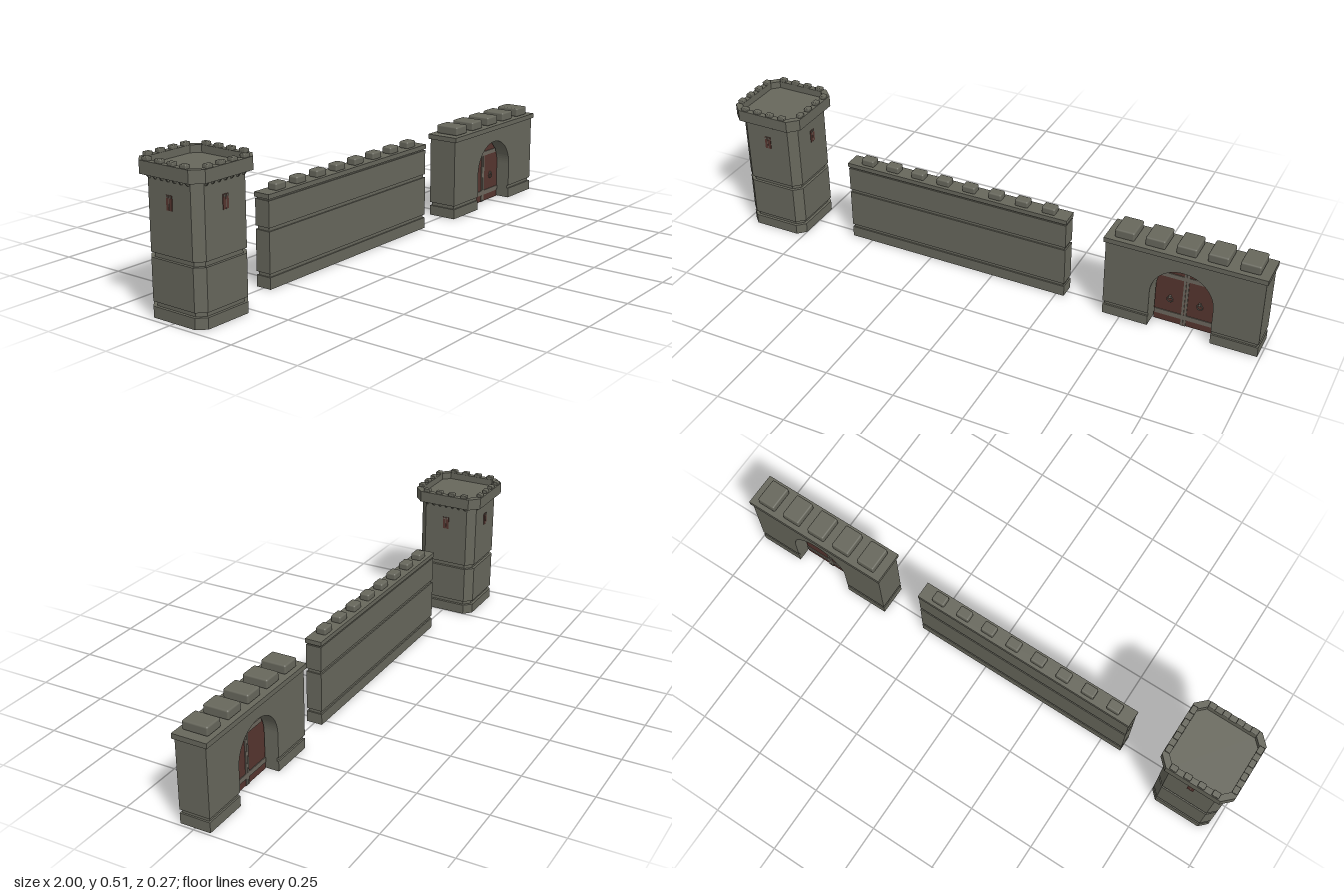
import * as THREE from 'three';
import { RoundedBoxGeometry } from 'three/addons/geometries/RoundedBoxGeometry.js';

const stone = new THREE.MeshStandardMaterial({ name: 'stone', color: 0x67675c });
const wood = new THREE.MeshStandardMaterial({ name: 'wood', color: 0x56352f });
const iron = new THREE.MeshStandardMaterial({ name: 'iron', color: 0x6c675d });

function add(parent, name, geometry, material, x = 0, y = 0, z = 0) {
  const mesh = new THREE.Mesh(geometry, material);
  mesh.name = name;
  mesh.position.set(x, y, z);
  parent.add(mesh);
  return mesh;
}

function group(parent, name, x = 0) {
  const g = new THREE.Group();
  g.name = name;
  g.position.x = x;
  parent.add(g);
  return g;
}

// Box given by its centre in x and z, and its bottom and top in y
function block(parent, name, w, y0, y1, d, material = stone, x = 0, z = 0) {
  return add(parent, name, new THREE.BoxGeometry(w, y1 - y0, d), material, x, (y0 + y1) / 2, z);
}

function merlon(parent, w, y0, y1, d, x, z = 0) {
  const r = Math.min(0.006, (y1 - y0) * 0.25);
  add(parent, 'merlon', new RoundedBoxGeometry(w, y1 - y0, d, 2, r), stone, x, (y0 + y1) / 2, z);
}

// Square outline with cut corners: r is half the width, c the half length of a side
function cutSquare(r, c, Type = THREE.Shape) {
  return new Type([[r, -c], [r, c], [c, r], [-c, r], [-r, c], [-r, -c], [-c, -r], [c, -r]]
    .map(([x, y]) => new THREE.Vector2(x, y)));
}

function prism(parent, name, shape, y0, y1) {
  const g = new THREE.ExtrudeGeometry(shape, { depth: y1 - y0, bevelEnabled: false });
  add(parent, name, g.rotateX(-Math.PI / 2), stone, 0, y0, 0);
}

function buildTower(root) {
  const tower = group(root, 'tower', -0.865);
  // Shaft with two grooves
  prism(tower, 'towerBase', cutSquare(0.115, 0.087), 0, 0.037);
  prism(tower, 'lowerGroove', cutSquare(0.105, 0.081), 0.037, 0.053);
  prism(tower, 'lowerShaft', cutSquare(0.115, 0.087), 0.053, 0.193);
  prism(tower, 'upperGroove', cutSquare(0.105, 0.081), 0.193, 0.21);
  prism(tower, 'upperShaft', cutSquare(0.115, 0.087), 0.21, 0.455);
  // Overhanging crown with a sunken floor
  prism(tower, 'crownFloor', cutSquare(0.136, 0.101), 0.453, 0.47);
  const rim = cutSquare(0.136, 0.101);
  rim.holes.push(cutSquare(0.115, 0.09, THREE.Path));
  prism(tower, 'crownParapet', rim, 0.47, 0.495);

  const wedge = new THREE.Shape([[0.113, 0.44], [0.118, 0.44], [0.13, 0.4535], [0.113, 0.4535]]
    .map(([x, y]) => new THREE.Vector2(x, y)));
  const corbel = new THREE.ExtrudeGeometry(wedge, { depth: 0.006, bevelEnabled: false });
  corbel.translate(0, 0, -0.003).rotateY(-Math.PI / 2);

  for (let i = 0; i < 4; i++) {
    const side = group(tower, 'towerSide');
    side.rotation.y = i * Math.PI / 2;
    for (const x of [-0.078, -0.026, 0.026, 0.078]) merlon(side, 0.026, 0.494, 0.507, 0.02, x, 0.124);
    for (let k = -3; k <= 3; k++) add(side, 'corbel', corbel, stone, k * 0.0265);
    // Shuttered window
    block(side, 'window', 0.024, 0.352, 0.399, 0.004, wood, 0, 0.115);
    for (const s of [-1, 1]) block(side, 'windowHinge', 0.006, 0.391, 0.398, 0.002, iron, s * 0.006, 0.1175);
    block(side, 'windowBar', 0.0015, 0.352, 0.399, 0.002, iron, 0, 0.117);
  }
}

function buildWall(root) {
  const wall = group(root, 'wall', -0.15);
  // Courses separated by narrow grooves
  block(wall, 'wallBase', 0.86, 0, 0.04, 0.058);
  block(wall, 'wallCore', 0.85, 0.02, 0.305, 0.048);
  block(wall, 'lowerCourse', 0.86, 0.052, 0.194, 0.058);
  block(wall, 'upperCourse', 0.86, 0.206, 0.296, 0.058);
  block(wall, 'wallCap', 0.864, 0.302, 0.318, 0.062);
  for (let i = 0; i < 8; i++) merlon(wall, 0.05, 0.316, 0.342, 0.038, (i - 3.5) * 0.102);
}

// Arch outline from the floor up, optionally as the notch of a larger outline
function archTop(path, r, spring) {
  path.absarc(0, spring, r, Math.PI, 0, true);
}

function buildGate(root) {
  const gate = group(root, 'gatehouse', 0.713);
  const W = 0.277, R = 0.112, spring = 0.14;

  // Base blocks and groove on each side of the opening
  for (const s of [-1, 1]) {
    block(gate, 'gateBase', W - R, 0, 0.037, 0.11, stone, s * (W + R) / 2);
    block(gate, 'gateGroove', W - R - 0.006, 0.037, 0.05, 0.098, stone, s * (W + R - 0.006) / 2);
  }
  // Arched body
  const body = new THREE.Shape();
  body.moveTo(-W, 0.05);
  body.lineTo(-R, 0.05);
  body.lineTo(-R, spring);
  archTop(body, R, spring);
  body.lineTo(R, 0.05);
  body.lineTo(W, 0.05);
  body.lineTo(W, 0.3);
  body.lineTo(-W, 0.3);
  add(gate, 'gateBody', new THREE.ExtrudeGeometry(body, { depth: 0.11, bevelEnabled: false, curveSegments: 20 }),
    stone, 0, 0, -0.055);
  block(gate, 'gateCap', 0.566, 0.299, 0.317, 0.125);
  for (let i = -2; i <= 2; i++) merlon(gate, 0.07, 0.317, 0.35, 0.092, i * 0.108);

  // Double door, slightly narrower than the opening
  const r = 0.107;
  const leaf = new THREE.Shape();
  leaf.moveTo(r, 0);
  leaf.lineTo(r, spring);
  leaf.absarc(0, spring, r, 0, Math.PI, false);
  leaf.lineTo(-r, 0);
  add(gate, 'door', new THREE.ExtrudeGeometry(leaf, { depth: 0.01, bevelEnabled: false, curveSegments: 20 }),
    wood, 0, 0, -0.007);
  // Iron straps wrap both faces of the door
  const strap = (w, y0, y1, x = 0) => block(gate, 'doorStrap', w, y0, y1, 0.016, iron, x, -0.002);
  strap(0.212, 0.026, 0.044);
  strap(0.176, 0.186, 0.202);
  for (const s of [-1, 1]) strap(0.008, 0, 0.244, s * 0.005);
  // Ring handles
  for (const s of [-1, 1]) {
    add(gate, 'doorRing', new THREE.TorusGeometry(0.01, 0.002, 6, 16), iron, s * 0.053, 0.096, 0.006);
    block(gate, 'ringMount', 0.008, 0.102, 0.112, 0.008, iron, s * 0.053, 0.006);
  }
}

export function createModel() {
  const root = new THREE.Group();
  root.name = 'castleSet';
  buildTower(root);
  buildWall(root);
  buildGate(root);
  return root;
}
